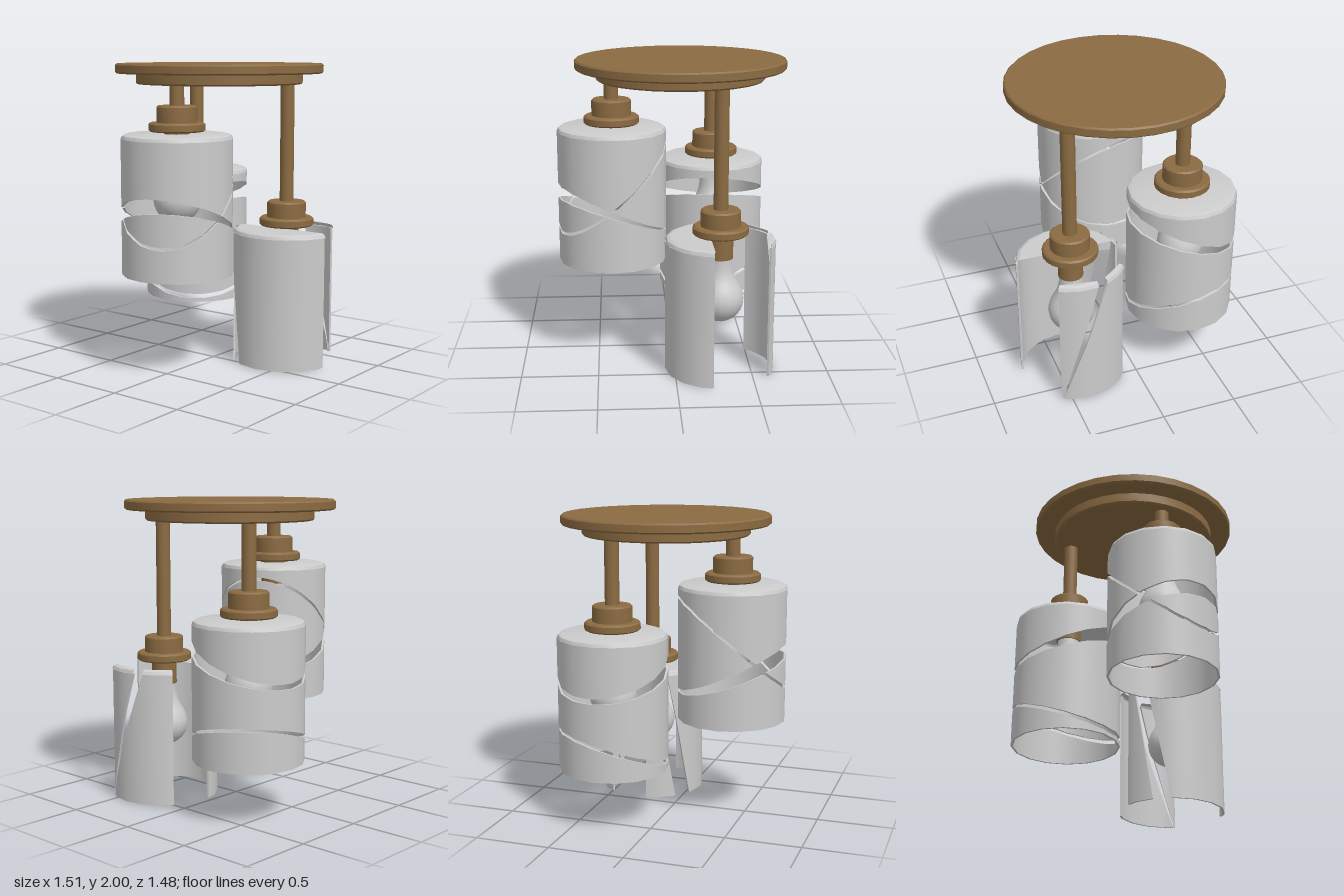
import * as THREE from 'three';
import { toCreasedNormals } from 'three/addons/utils/BufferGeometryUtils.js';

const brass = new THREE.MeshStandardMaterial({ color: 0x8b6b42 });
const glass = new THREE.MeshStandardMaterial({ color: 0xcccccc, side: THREE.DoubleSide });
const R = 0.36, H = 0.905, BEVEL = 0.03, WALL = 0.014, SIDES = 16;
const RAD = Math.PI / 180;
const lerp = THREE.MathUtils.lerp;

function add(parent, name, geometry, material) {
  const mesh = new THREE.Mesh(geometry, material);
  mesh.name = name;
  parent.add(mesh);
  return mesh;
}

function turned(points, segments, start = 0, length = Math.PI * 2) {
  const profile = points.map(([r, y]) => new THREE.Vector2(r, y));
  return toCreasedNormals(new THREE.LatheGeometry(profile, segments, start, length), 0.65);
}

// Thick piece of the shade wall; at(u, v) returns [angle from +x toward +z, height]
function wallPatch(at, nu, nv) {
  const pos = [], nor = [];
  const point = (i, j, inner) => {
    const [t, y] = at(i / nu, j / nv);
    const step = Math.PI * 2 / SIDES;
    const local = t - (Math.floor(t / step) + 0.5) * step;
    const r = (R - (inner ? WALL : 0)) * Math.cos(step / 2) / Math.cos(local);
    return { p: new THREE.Vector3(r * Math.cos(t), y, r * Math.sin(t)), n: new THREE.Vector3(Math.cos(t), 0, Math.sin(t)) };
  };
  const quad = (c, sign) => {
    const flat = c[2].p.clone().sub(c[0].p).cross(c[3].p.clone().sub(c[1].p)).normalize();
    for (const k of [0, 1, 2, 0, 2, 3]) {
      pos.push(...c[k].p.toArray());
      nor.push(...(sign ? c[k].n.clone().multiplyScalar(sign) : flat).toArray());
    }
  };
  for (let i = 0; i < nu; i++) {
    if (at((i + 0.5) / nu, 1)[1] - at((i + 0.5) / nu, 0)[1] < 0.002) continue;
    for (let j = 0; j < nv; j++) {
      const corners = [[i, j], [i, j + 1], [i + 1, j + 1], [i + 1, j]];
      const o = corners.map(([a, b]) => point(a, b, false));
      const n = corners.map(([a, b]) => point(a, b, true));
      quad(o, 1);
      quad([n[3], n[2], n[1], n[0]], -1);
      if (j === 0) quad([o[0], o[3], n[3], n[0]], 0);
      if (j === nv - 1) quad([o[2], o[1], n[1], n[2]], 0);
      if (i === 0) quad([o[1], o[0], n[0], n[1]], 0);
      if (i === nu - 1) quad([o[3], o[2], n[2], n[3]], 0);
    }
  }
  const g = new THREE.BufferGeometry();
  g.setAttribute('position', new THREE.Float32BufferAttribute(pos, 3));
  g.setAttribute('normal', new THREE.Float32BufferAttribute(nor, 3));
  return g;
}

// Height of a tilted plane around the shade
const wave = (centre, swing, peak) => t => centre + swing * Math.cos(t - peak * RAD);

// Closed shade sliced by two tilted cuts, each an [upper, lower] pair of edges
function slicedShade(group, bottom, [u1, l1], [u2, l2]) {
  const top = bottom + H;
  const band = (name, lo, hi) => add(group, name, wallPatch((u, v) => {
    const t = u * Math.PI * 2;
    return [t, lerp(lo(t), Math.max(lo(t), hi(t)), v)];
  }, 96, 1), glass);
  band('shadeUpperBand', t => Math.max(u1(t), u2(t)), () => top - BEVEL);
  band('shadeMiddleBand', t => Math.min(u1(t), u2(t)), t => Math.max(l1(t), l2(t)));
  band('shadeLowerBand', () => bottom, t => Math.min(l1(t), l2(t)));
  add(group, 'shadeTop', turned([[R, top - BEVEL], [R - 0.009, top - 0.009], [R - BEVEL, top], [0.05, top]], SIDES), glass);
}

// Open shade: two separate curved panels, each split by a slanted slit
function splitShade(group, bottom) {
  const top = bottom + H;
  // Angles in degrees: from/to at the bottom, then from/to at the top
  const panel = (name, b0, b1, t0, t1) => add(group, name, wallPatch((u, v) =>
    [lerp(lerp(b0, b1, u), lerp(t0, t1, u), v) * RAD, lerp(bottom, top - BEVEL, v)], 32, 8), glass);
  panel('shadeSidePanel', -55, 28, -55, -23);
  panel('shadeSideShard', 29, 30, -12, 30);
  panel('shadeWidePanel', 101, 205, 101, 234);
  panel('shadeBackShard', 225, 259, 250, 259);
  // Rounded shoulder and flat top segment of each panel
  for (const [a, b] of [[-55, -23], [-12, 30], [101, 234], [250, 259]]) {
    const n = Math.max(2, Math.round((b - a) / 22.5));
    add(group, 'shadeShoulder', turned([[R, top - BEVEL], [R - 0.009, top - 0.009], [R - BEVEL, top]],
      n, Math.PI / 2 - b * RAD, (b - a) * RAD), glass);
    const shape = new THREE.Shape();
    for (let i = 0; i <= n; i++) {
      const t = lerp(a, b, i / n) * RAD, r = R - BEVEL;
      shape[i ? 'lineTo' : 'moveTo'](r * Math.cos(t), -r * Math.sin(t));
    }
    if (a === 101) shape.lineTo(-0.07, 0.32);
    add(group, 'shadeTopSegment', new THREE.ShapeGeometry(shape).rotateX(-Math.PI / 2).translate(0, top, 0), glass);
  }
}

// Rod, stepped cap, socket and bulb above and inside a shade
function fitting(group, top) {
  const rodLength = 1.88 - (top + 0.15);
  add(group, 'rod', new THREE.CylinderGeometry(0.047, 0.047, rodLength, 16, 1)
    .translate(0, 1.88 - rodLength / 2, 0), brass);
  add(group, 'cap', turned([
    [0, 0], [0.083, 0], [0.083, 0.015], [0.17, 0.015], [0.182, 0.024], [0.182, 0.062], [0.17, 0.073],
    [0.13, 0.073], [0.13, 0.17], [0.12, 0.18], [0, 0.18],
  ], 20).translate(0, top, 0), brass);
  add(group, 'socket', new THREE.CylinderGeometry(0.083, 0.083, 0.15, 16).translate(0, top - 0.07, 0), brass);
  const profile = new THREE.SplineCurve([
    [0, -0.575], [0.07, -0.558], [0.13, -0.505], [0.155, -0.43], [0.14, -0.355],
    [0.1, -0.28], [0.08, -0.21], [0.075, -0.13],
  ].map(p => new THREE.Vector2(...p))).getPoints(16);
  profile[0].x = 0;
  add(group, 'bulb', new THREE.LatheGeometry(profile, 20).translate(0, top, 0), glass);
}

export function createModel() {
  const model = new THREE.Group();
  model.name = 'pendantLamp';

  // Ceiling plate in two steps
  add(model, 'ceilingPlate', turned([
    [0, 1.865], [0.545, 1.865], [0.555, 1.875], [0.555, 1.935], [0.68, 1.935], [0.692, 1.945],
    [0.692, 1.99], [0.682, 2], [0, 2],
  ], 32), brass).position.x = 0.06;

  const pendant = (name, x, z, bottom) => {
    const group = new THREE.Group();
    group.name = name;
    group.position.set(x, 0, z);
    fitting(group, bottom + H);
    model.add(group);
    return group;
  };

  const high = pendant('highPendant', -0.395, 0.01, 0.655);
  slicedShade(high, 0.655,
    [wave(1.02, 0.16, 165), wave(0.965, 0.125, 155)],
    [wave(1.183, 0.3, -22), wave(1.163, 0.3, -22)]);

  const middle = pendant('middlePendant', 0.297, -0.38, 0.36);
  slicedShade(middle, 0.36,
    [wave(1.045, 0.14, 97), wave(0.97, 0.1, 95)],
    [wave(0.53, 0.115, -38), wave(0.505, 0.12, -38)]);

  const low = pendant('lowPendant', 0.297, 0.39, 0);
  splitShade(low, 0);

  return model;
}
